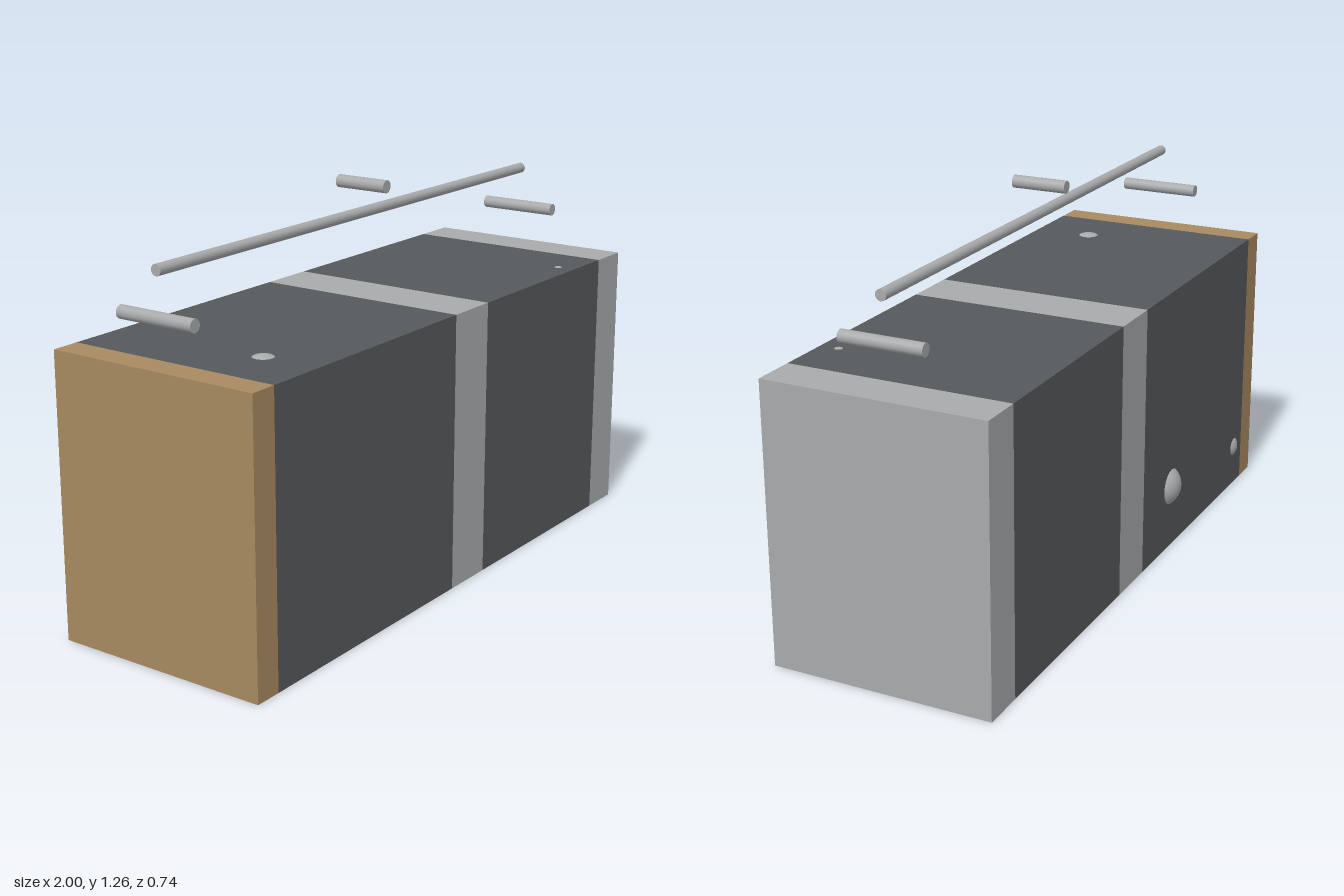
import * as THREE from 'three';

const mat = (name, color) => {
  const m = new THREE.MeshStandardMaterial({ color });
  m.name = name;
  return m;
};

export function createModel() {
  const group = new THREE.Group();
  const grey = mat('light grey', 0xa9aaac);
  const dark = mat('dark grey', 0x56595b);
  const tan = mat('tan', 0xa88a61);

  const add = (name, geometry, material, x, y, z) => {
    const mesh = new THREE.Mesh(geometry, material);
    mesh.name = name;
    mesh.position.set(x, y, z);
    group.add(mesh);
    return mesh;
  };

  // Body: one block divided across its width into coloured sections
  const height = 0.885, back = -0.34, front = 0.37;
  const sections = [
    ['rightEndPanel', -1, -0.91, tan],
    ['rightBody', -0.91, -0.03, dark],
    ['middleBand', -0.03, 0.15, grey],
    ['leftBody', 0.15, 0.86, dark],
    ['leftEndPanel', 0.86, 1, grey],
  ];
  for (const [name, x0, x1, material] of sections) {
    add(name, new THREE.BoxGeometry(x1 - x0, height, front - back), material,
      (x0 + x1) / 2, height / 2, (front + back) / 2);
  }

  // Long rail floating above the body
  const rail = add('rail', new THREE.CylinderGeometry(0.017, 0.017, 1.89, 20), grey, -0.015, 1.153, 0.015);
  rail.rotation.z = Math.PI / 2;

  // Short cross bars, running front to back
  const crossBars = [
    ['rightCrossBar', -0.96, 1.02, -0.117, 0.147],
    ['leftCrossBar', 0.927, 1.02, -0.117, 0.147],
    ['middleCrossBar', -0.015, 1.241, -0.072, 0.105],
  ];
  for (const [name, x, y, z0, z1] of crossBars) {
    const bar = add(name, new THREE.CylinderGeometry(0.02, 0.02, z1 - z0, 20), grey, x, y, (z0 + z1) / 2);
    bar.rotation.x = Math.PI / 2;
  }

  // Rounded studs partly sunk into the top and back faces
  const stud = (name, r, x, y, z) =>
    add(name, new THREE.SphereGeometry(r, 24, 16), grey, x, y, z);
  stud('rightTopStud', 0.072, -0.717, height + 0.008 - 0.072, 0.18);
  stud('leftTopStud', 0.03, 0.69, height + 0.003 - 0.03, 0.31);
  stud('largeBackStud', 0.075, -0.26, 0.21, back - 0.03 + 0.075);
  stud('smallBackStud', 0.05, -0.84, 0.138, back - 0.011 + 0.05);

  return group;
}
